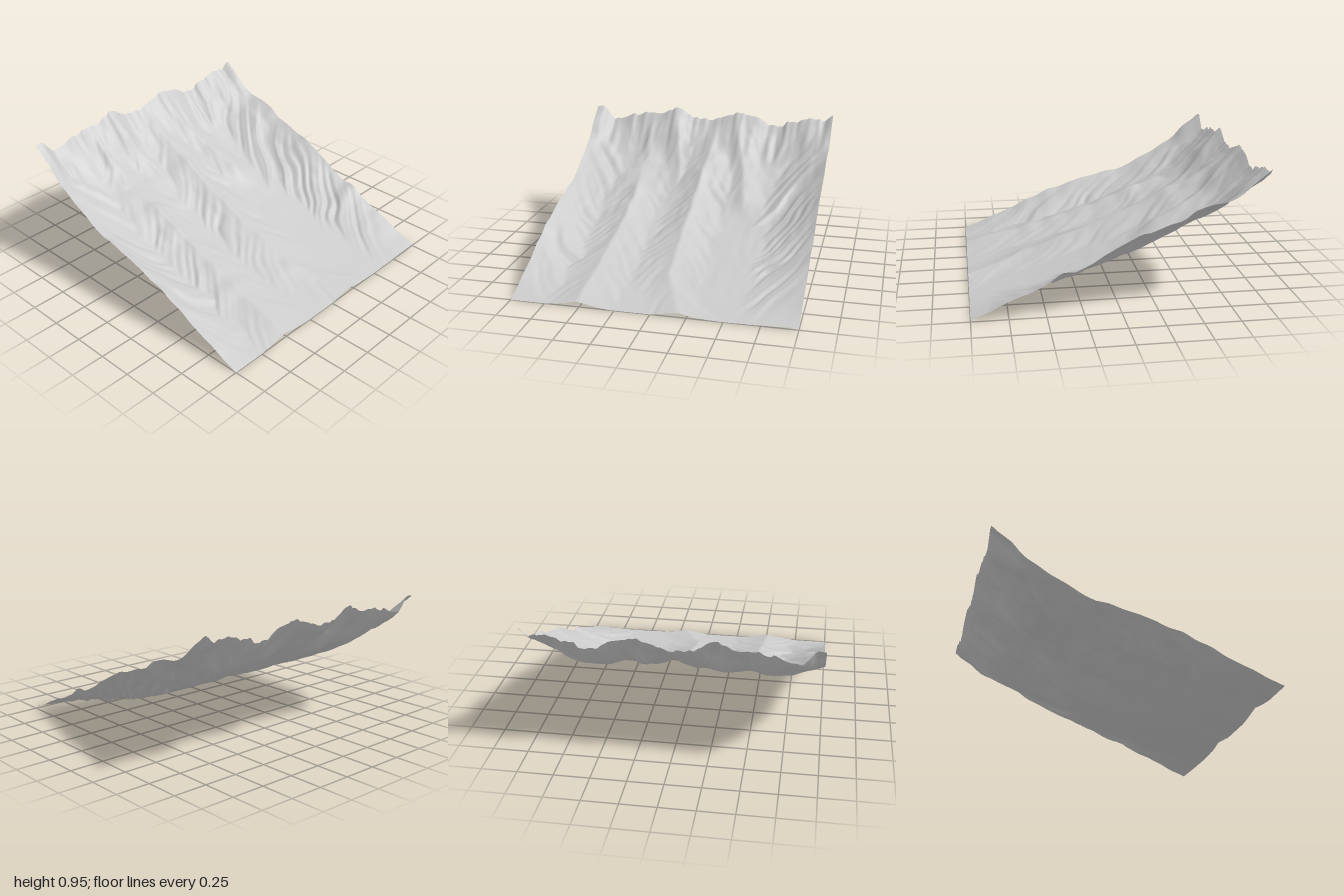
import * as THREE from 'three';

const smooth = (t) => t * t * (3 - 2 * t);

// piecewise lookup through [position, value] pairs
function lookup(pts, p) {
  if (p <= pts[0][0]) return pts[0][1];
  for (let i = 1; i < pts.length; i++) {
    const [a, va] = pts[i - 1], [b, vb] = pts[i];
    if (p <= b) return va + (vb - va) * (p - a) / (b - a);
  }
  return pts[pts.length - 1][1];
}

// seeded value noise, 0..1
function hash(i, j) {
  const s = Math.sin(i * 127.1 + j * 311.7) * 43758.5453;
  return s - Math.floor(s);
}
function noise(x, y) {
  const i = Math.floor(x), j = Math.floor(y), u = smooth(x - i), v = smooth(y - j);
  const a = hash(i, j) + (hash(i + 1, j) - hash(i, j)) * u;
  const b = hash(i, j + 1) + (hash(i + 1, j + 1) - hash(i, j + 1)) * u;
  return a + (b - a) * v;
}

// valley floor height along z, from the steep headwall to the flat front
const floor = [[-1, 0.81], [-0.95, 0.75], [-0.9, 0.705], [-0.8, 0.63], [-0.7, 0.567], [-0.6, 0.51],
  [-0.4, 0.415], [-0.2, 0.33], [0, 0.253], [0.2, 0.19], [0.4, 0.135], [0.6, 0.085], [0.8, 0.041], [1, 0.002]];

// jagged skyline along the back edge
const skyline = [[-1, 0.925], [-0.93, 0.92], [-0.86, 0.82], [-0.75, 0.845], [-0.67, 0.88], [-0.65, 0.865],
  [-0.55, 0.9], [-0.48, 0.885], [-0.4, 0.9], [-0.31, 0.945], [-0.26, 0.935], [-0.18, 0.88], [-0.1, 0.865],
  [0.02, 0.86], [0.06, 0.88], [0.12, 0.89], [0.21, 0.93], [0.3, 0.92], [0.4, 0.9], [0.48, 0.84],
  [0.6, 0.835], [0.63, 0.88], [0.72, 0.88], [0.76, 0.91], [0.85, 0.92], [0.93, 0.9], [0.98, 0.945], [1, 0.95]];

// ridges: crest is x along z, rise is height above the floor along z
const ridges = [
  { width: 0.32, crest: [[-1, -1]],
    rise: [[-1, 0], [-0.85, 0.06], [-0.7, 0.1], [-0.5, 0.1], [-0.3, 0.1], [0, 0.15], [0.2, 0.15], [0.4, 0.14], [0.6, 0.09], [0.8, 0.04], [1, 0]] },
  { width: 0.25, crest: [[-0.8, -0.53], [-0.3, -0.46], [0.3, -0.48], [1, -0.52]],
    rise: [[-0.7, 0], [-0.5, 0.04], [-0.35, 0.075], [0, 0.075], [0.3, 0.065], [0.6, 0.055], [0.8, 0.06], [1, 0.042]] },
  { width: 0.25, crest: [[-1, 0.06], [-0.5, 0.03], [0.1, 0.02], [0.6, 0.03], [1, 0.2]],
    rise: [[-1, 0], [-0.85, 0.04], [-0.7, 0.095], [-0.5, 0.105], [-0.1, 0.1], [0.1, 0.095], [0.3, 0.075], [0.5, 0.05], [0.8, 0.028], [1, 0.028]] },
  { width: 0.17, crest: [[-0.9, 0.25], [-0.6, 0.34], [-0.2, 0.41]],
    rise: [[-1, 0], [-0.8, 0.06], [-0.55, 0.065], [-0.35, 0.055], [-0.15, 0]] },
  { width: 0.15, crest: [[-1, -0.3], [-0.55, -0.17]], rise: [[-1, 0], [-0.85, 0.05], [-0.6, 0.035], [-0.35, 0]] },
  { width: 0.15, crest: [[-1, -0.4], [-0.6, -0.5]], rise: [[-1, 0], [-0.85, 0.045], [-0.6, 0.03], [-0.45, 0]] },
  { width: 0.43, crest: [[-1, 1]],
    rise: [[-1, 0], [-0.8, 0.12], [-0.6, 0.2], [-0.4, 0.235], [-0.15, 0.24], [0, 0.215], [0.2, 0.18], [0.4, 0.15], [0.65, 0.1], [0.85, 0.045], [1, 0.013]] },
];

function height(x, z) {
  let lift = 0;
  const warp = 0.12 * noise(x * 6 + 30, z * 5 + 30);
  ridges.forEach((r, i) => {
    const d = x - lookup(r.crest, z), side = i * 9 + (d > 0 ? 4 : 0);
    // spurs branch off each crest and run forward and outward
    const u = z - 1.2 * Math.abs(d) + warp;
    const spur = 0.6 * noise(u * 9 + side, side) + 0.4 * noise(u * 21 + side, side + 50);
    const dist = Math.abs(d) / (r.width * (0.65 + 0.7 * spur));
    const flank = Math.max(0, 1 - dist);
    const crestLine = 0.86 + 0.24 * noise(z * 10, i * 9 + 80);
    lift = Math.max(lift, lookup(r.rise, z) * crestLine * Math.pow(flank, 1.3));
  });
  // headwall rises to the skyline, cut by narrow gullies
  const back = smooth(Math.min(1, Math.max(0, (-0.68 - z) / 0.32)));
  const jag = 0.016 * (noise(x * 38, 7) - 0.5);
  const wall = (lookup(skyline, x) + jag - 0.81) * back;
  const gullies = 0.14 * (noise(x * 20, z * 2.5 + 40) - 0.4) * back * (1 - back);
  const grain = 0.006 * noise(x * 22, z * 9) * (1 - z) * (1 - back);
  return Math.max(0, lookup(floor, z) + lift + wall + gullies + grain);
}

export function createModel() {
  const group = new THREE.Group();
  group.name = 'mountainTerrain';

  // sloping mountainside as one open sheet
  const geo = new THREE.PlaneGeometry(2, 2, 140, 140).rotateX(-Math.PI / 2);
  const pos = geo.attributes.position;
  for (let i = 0; i < pos.count; i++) pos.setY(i, height(pos.getX(i), pos.getZ(i)));
  geo.computeVertexNormals();

  const mesh = new THREE.Mesh(geo, new THREE.MeshStandardMaterial({ color: 0xcccccc, side: THREE.DoubleSide }));
  mesh.name = 'mountainside';
  group.add(mesh);
  return group;
}
